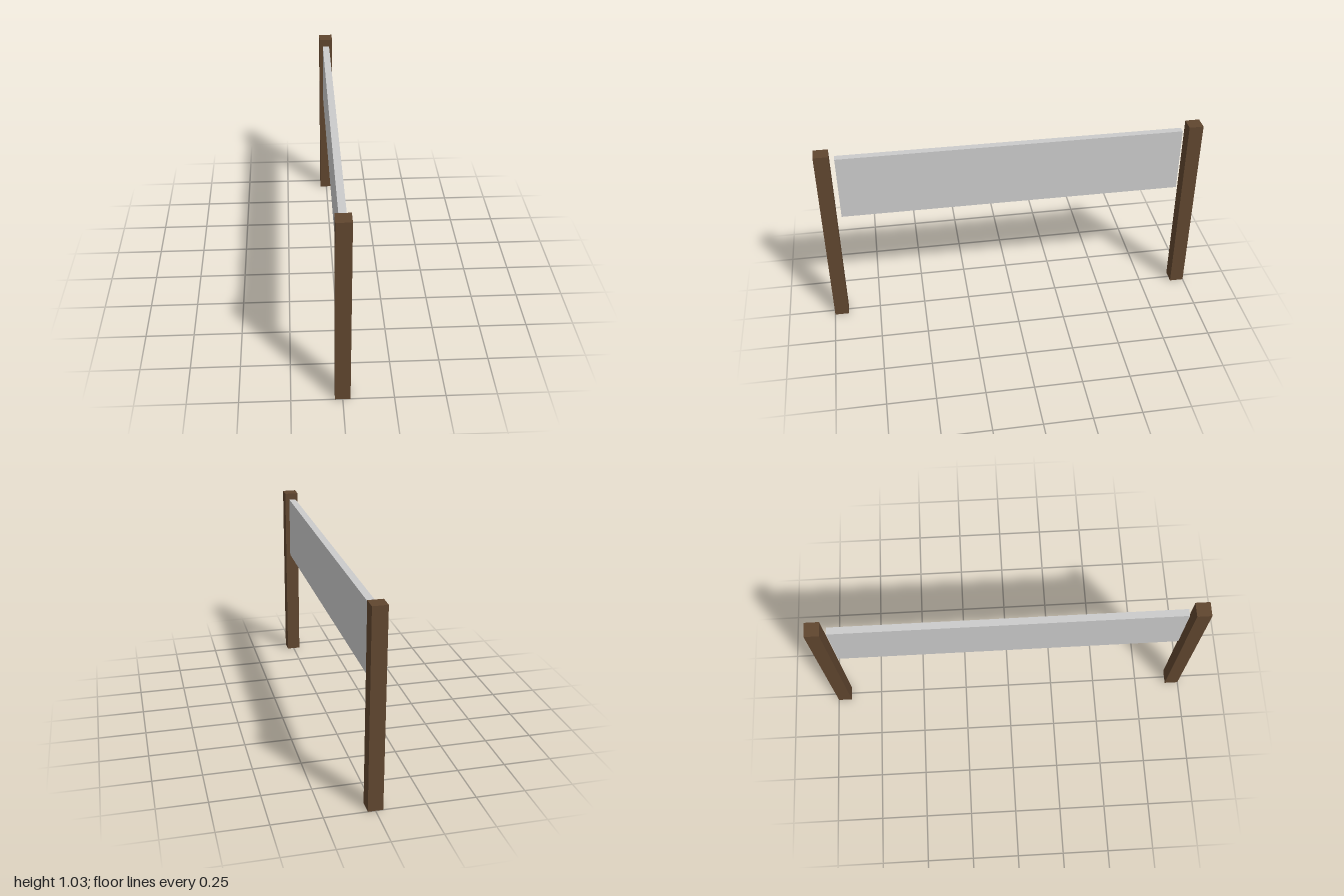
import * as THREE from 'three';

const wood = new THREE.MeshStandardMaterial({ color: 0x60462f });
const grey = new THREE.MeshStandardMaterial({ color: 0xcccccc });

function box(name, size, position, material) {
  const mesh = new THREE.Mesh(new THREE.BoxGeometry(...size), material);
  mesh.name = name;
  mesh.position.set(...position);
  return mesh;
}

export function createModel() {
  const model = new THREE.Group();
  model.name = 'postAndPanelSign';

  // Square posts at the front and back ends
  const post = 0.075, height = 1.027;
  for (const [name, side] of [['frontPost', 1], ['backPost', -1]]) {
    model.add(box(name, [post, height, post], [0, height / 2, side * (1 - post / 2)], wood));
  }

  // Thin panel hung between the posts, with a small gap at each end
  model.add(box('panel', [0.037, 0.35, 1.795], [0, 0.822, 0], grey));

  return model;
}
